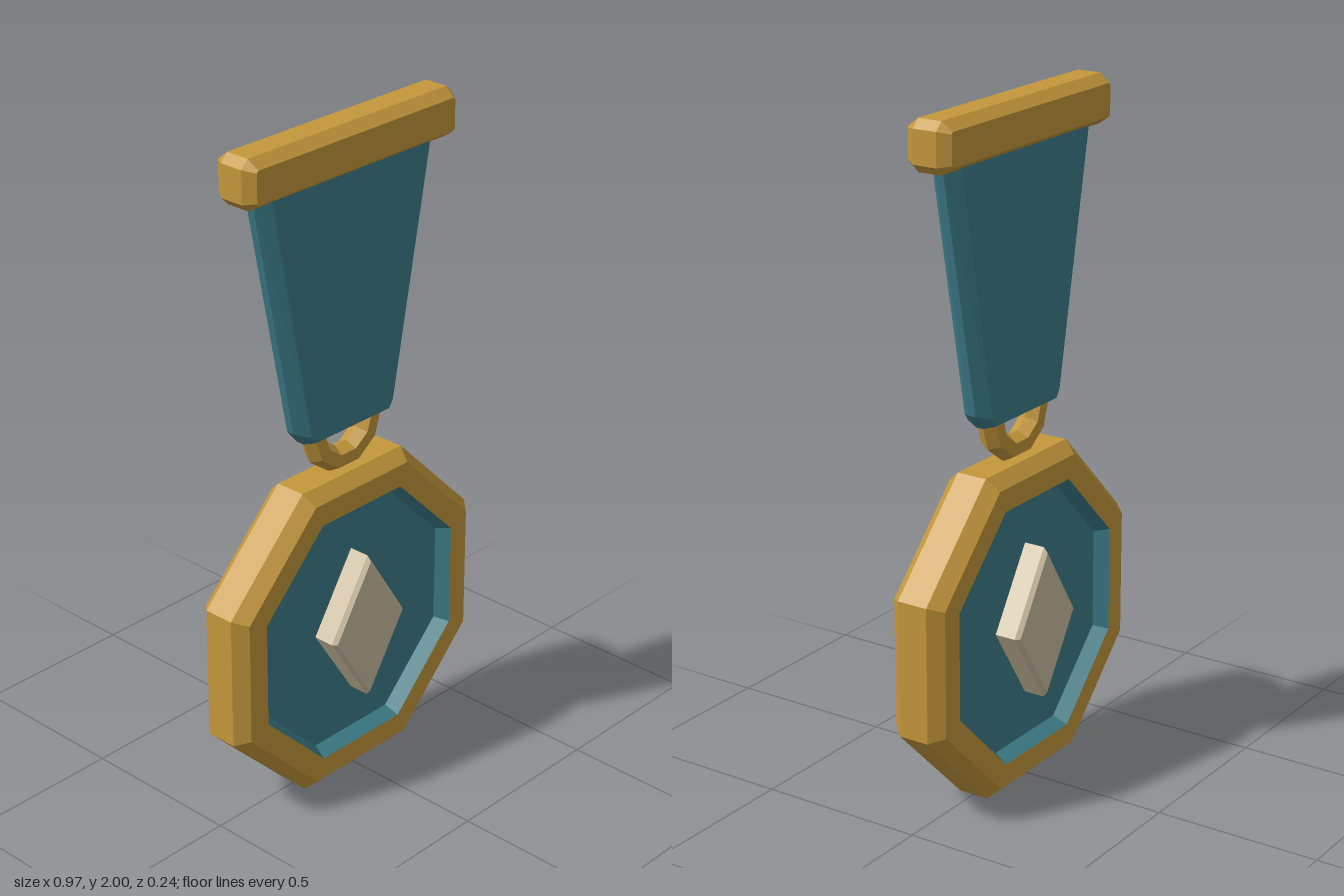
import * as THREE from 'three';

const paint = (name, color) => {
  const m = new THREE.MeshStandardMaterial({ color, flatShading: true });
  m.name = name;
  return m;
};

// Joins counter-clockwise outlines [points, z] into a faceted skin, with optional end caps.
function loft(rings, capStart = true, capEnd = true) {
  const pos = [];
  const tri = (...pts) => pts.forEach((p) => pos.push(...p));
  const loops = rings.map(([pts, z]) => pts.map(([x, y]) => [x, y, z]));
  const n = loops[0].length;
  for (let r = 0; r < loops.length - 1; r++) {
    const a = loops[r], b = loops[r + 1];
    for (let i = 0; i < n; i++) {
      const j = (i + 1) % n;
      tri(a[i], a[j], b[j]);
      tri(a[i], b[j], b[i]);
    }
  }
  const first = loops[0], last = loops[loops.length - 1];
  for (let i = 1; i < n - 1; i++) {
    if (capStart) tri(first[0], first[i + 1], first[i]);
    if (capEnd) tri(last[0], last[i], last[i + 1]);
  }
  const g = new THREE.BufferGeometry();
  g.setAttribute('position', new THREE.Float32BufferAttribute(pos, 3));
  g.computeVertexNormals();
  return g;
}

// Slab with a bevelled front and back: inner outline on the faces, outer one round the edge.
const slab = (inner, outer, zFace, zEdge) =>
  loft([[inner, -zFace], [outer, -zEdge], [outer, zEdge], [inner, zFace]]);

// Mirrors the right-hand points (bottom to top) into a full outline.
const mirror = (pts) => [...pts, ...pts.map(([x, y]) => [-x, y]).reverse()];

// Octagon with flat sides, given the distance from its centre to a side.
const octagon = (apothem, cy) => Array.from({ length: 8 }, (_, i) => {
  const a = (i + 0.5) * Math.PI / 4, r = apothem / Math.cos(Math.PI / 8);
  return [r * Math.cos(a), cy + r * Math.sin(a)];
});

const rhombus = (w, h, cy) => [[w, cy], [0, cy + h], [-w, cy], [0, cy - h]];

// Rectangle with cut corners.
const cutRect = (w, y0, y1, c) => mirror([[w - c, y0], [w, y0 + c], [w, y1 - c], [w - c, y1]]);

export function createModel() {
  const gold = paint('gold', 0xc4973b);
  const teal = paint('teal', 0x3c7c88);
  const ivory = paint('ivory', 0xcdbea1);
  const group = new THREE.Group();
  group.name = 'medal';
  const add = (name, geometry, material) => {
    const mesh = new THREE.Mesh(geometry, material);
    mesh.name = name;
    group.add(mesh);
    return mesh;
  };

  // Bar the ribbon hangs from
  add('topBar', slab(cutRect(0.382, 1.88, 1.975, 0.006), cutRect(0.405, 1.857, 2, 0.024), 0.07, 0.037), gold);

  // Tapered ribbon with wide side bevels
  add('ribbon', slab(
    mirror([[0.15, 1.112], [0.165, 1.135], [0.319, 1.93]]),
    mirror([[0.16, 1.1], [0.199, 1.145], [0.356, 1.93]]),
    0.048, 0.012), teal);

  // Hanging ring, its upper half hidden in the ribbon
  add('ring', new THREE.TorusGeometry(0.114, 0.038, 6, 10), gold).position.y = 1.115;

  // Eight-sided rim and the recessed dish on each face
  const cy = 0.4875;
  const oct = (apothem, z) => [octagon(apothem, cy), z];
  add('rim', loft([
    oct(0.385, -0.085), oct(0.452, -0.085), oct(0.4865, -0.047),
    oct(0.4865, 0.047), oct(0.452, 0.085), oct(0.385, 0.085),
  ], false, false), gold);
  add('frontDish', loft([oct(0.385, 0.085), oct(0.364, 0.042)], false, true), teal);
  add('backDish', loft([oct(0.364, -0.042), oct(0.385, -0.085)], true, false), teal);

  // Diamond passing through the disc
  add('diamond', slab(rhombus(0.137, 0.215, 0.49), rhombus(0.148, 0.231, 0.49), 0.119, 0.106), ivory);

  return group;
}
